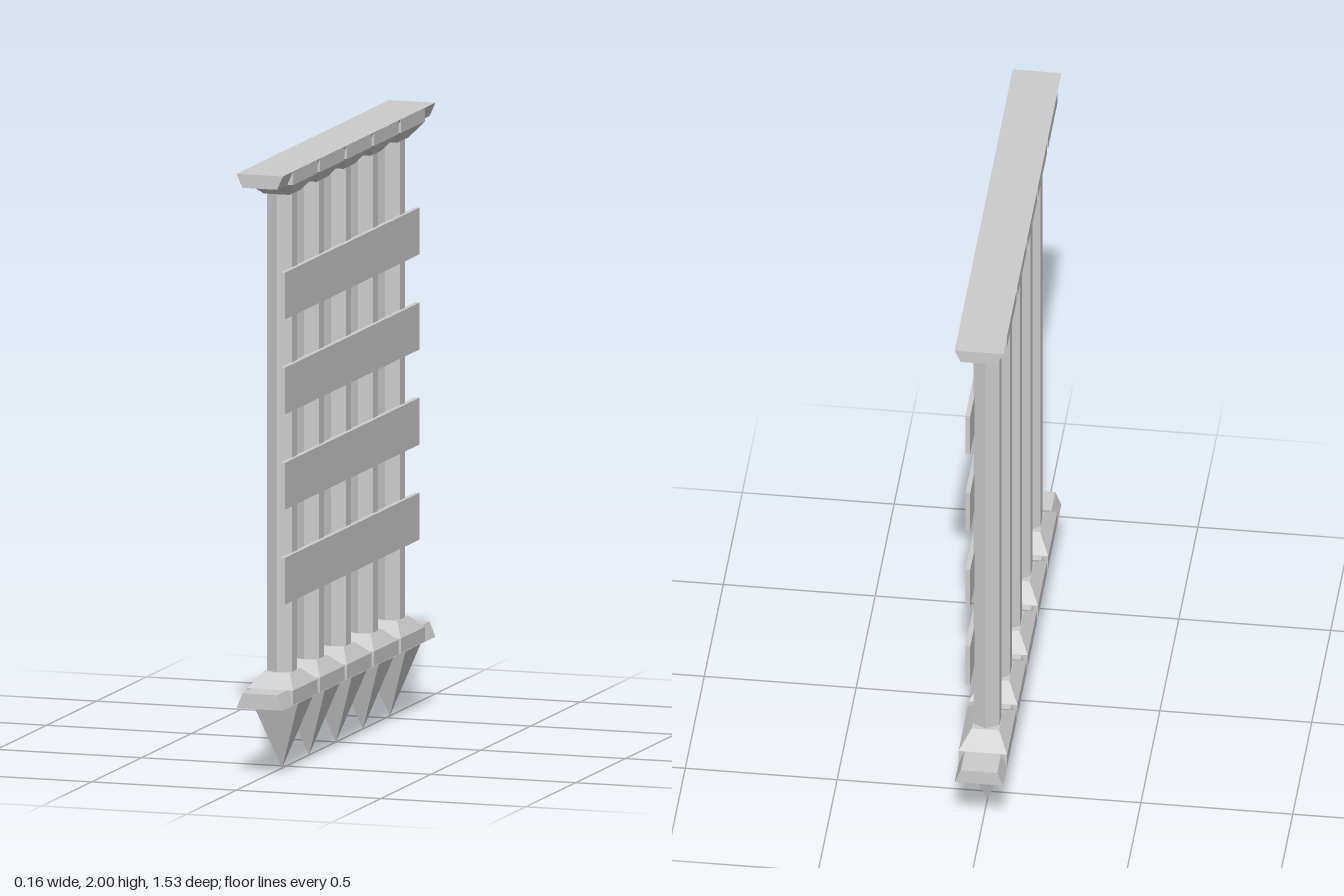
import * as THREE from 'three';

const material = new THREE.MeshStandardMaterial({ color: 0xcccccc, flatShading: true });

function addMesh(parent, geometry, name, x = 0, y = 0, z = 0) {
  const mesh = new THREE.Mesh(geometry, material);
  mesh.name = name;
  mesh.position.set(x, y, z);
  parent.add(mesh);
  return mesh;
}

// Box whose top and bottom have their own half sizes [x, z]
function taperedBox(bottom, top, y0, y1) {
  const geometry = new THREE.BoxGeometry(2, 1, 2);
  const p = geometry.attributes.position;
  for (let i = 0; i < p.count; i++) {
    const upper = p.getY(i) > 0;
    const half = upper ? top : bottom;
    p.setXYZ(i, p.getX(i) * half[0], upper ? y1 : y0, p.getZ(i) * half[1]);
  }
  geometry.computeVertexNormals();
  return geometry;
}

// Four-sided spike pointing down
function spikeGeometry(halfX, halfZ, height) {
  const geometry = new THREE.ConeGeometry(Math.SQRT2, height, 4);
  geometry.rotateY(Math.PI / 4);
  geometry.rotateX(Math.PI);
  geometry.scale(halfX, 1, halfZ);
  geometry.translate(0, height / 2, 0);
  return geometry;
}

export function createModel() {
  const group = new THREE.Group();
  group.name = 'spikedGate';

  // Rails with sloping long sides
  addMesh(group, taperedBox([0.06, 0.765], [0.08, 0.765], 1.955, 2), 'topRail');
  addMesh(group, taperedBox([0.08, 0.765], [0.06, 0.765], 0.23, 0.28), 'bottomRail');

  // Posts with hexagonal section, collars and spikes
  const post = new THREE.CylinderGeometry(0.05, 0.05, 1.62, 6);
  const topCollar = taperedBox([0.045, 0.055], [0.08, 0.122], 1.91, 1.955);
  const bottomCollar = taperedBox([0.08, 0.122], [0.045, 0.055], 0.28, 0.325);
  const topSeat = taperedBox([0.08, 0.122], [0.08, 0.122], 1.955, 1.998);
  const bottomSeat = taperedBox([0.08, 0.122], [0.08, 0.122], 0.232, 0.28);
  const spike = spikeGeometry(0.08, 0.075, 0.23);
  for (let i = -2; i <= 2; i++) {
    const bar = new THREE.Group();
    bar.name = 'bar';
    bar.position.z = i * 0.27;
    addMesh(bar, post, 'post', 0, 1.12, 0);
    addMesh(bar, topCollar, 'topCollar');
    addMesh(bar, topSeat, 'topCollarSeat');
    addMesh(bar, bottomCollar, 'bottomCollar');
    addMesh(bar, bottomSeat, 'bottomCollarSeat');
    addMesh(bar, spike, 'spike');
    group.add(bar);
  }

  // Flat slats across one face of the posts
  const slat = new THREE.BoxGeometry(0.016, 0.155, 1.35);
  for (let i = 0; i < 4; i++) addMesh(group, slat, 'slat', 0.048, 0.643 + i * 0.315, 0);

  return group;
}
